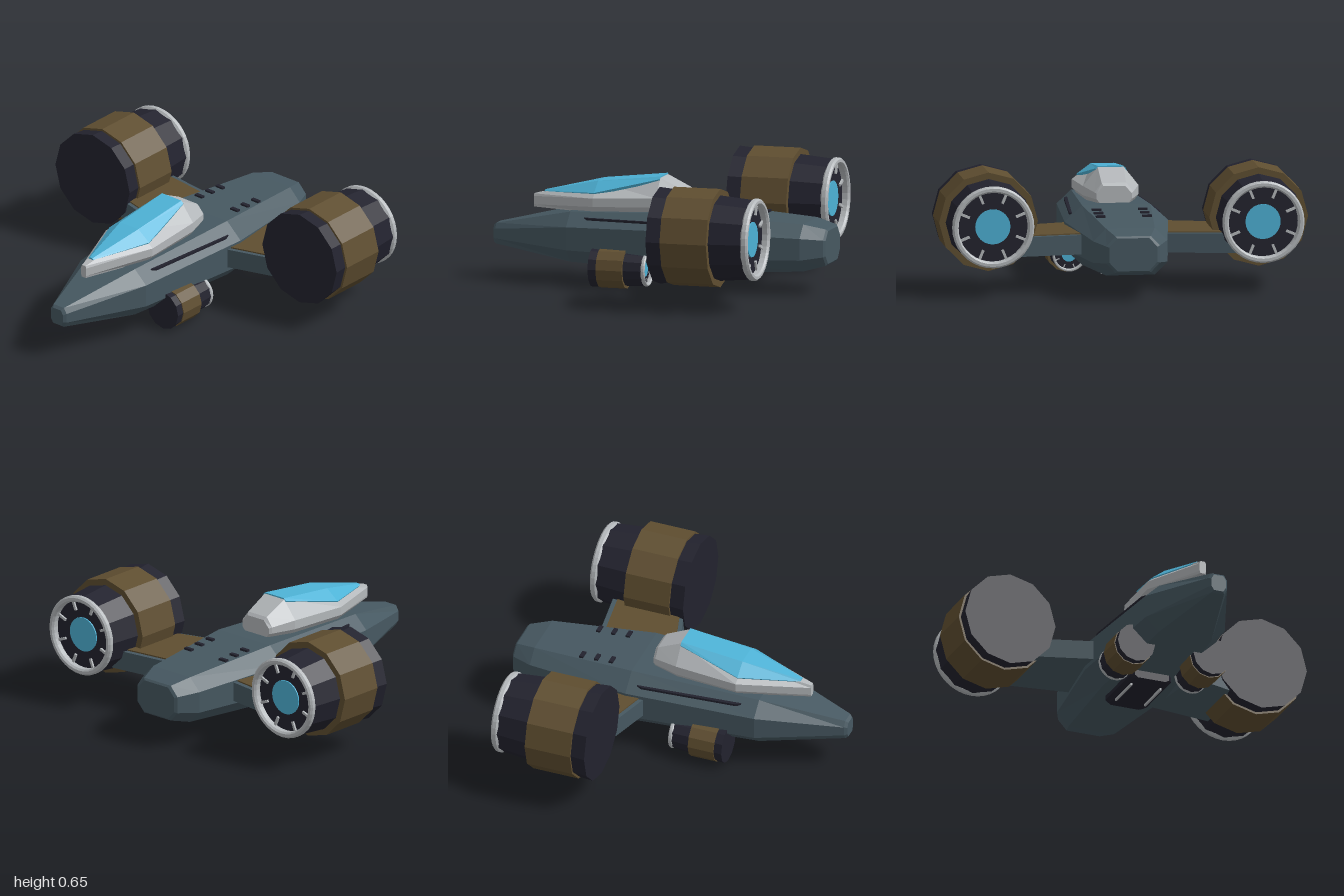
import * as THREE from 'three';

const paint = (name, color) => {
  const m = new THREE.MeshStandardMaterial({ color });
  m.name = name;
  return m;
};

// Faceted normals
function flat(geo) {
  const g = geo.index ? geo.toNonIndexed() : geo;
  g.computeVertexNormals();
  return g;
}

// Skin closed cross-sections (counter-clockwise seen from the front), ordered front to back
function loft(sections) {
  const pos = [], n = sections[0].length;
  const tri = (...pts) => pts.forEach(p => pos.push(...p));
  for (let i = 0; i < sections.length - 1; i++) {
    const A = sections[i], B = sections[i + 1];
    for (let j = 0; j < n; j++) {
      const k = (j + 1) % n;
      tri(A[j], B[j], A[k]);
      tri(A[k], B[j], B[k]);
    }
  }
  const F = sections[0], R = sections[sections.length - 1];
  for (let j = 1; j < n - 1; j++) {
    tri(F[0], F[j], F[j + 1]);
    tri(R[0], R[j + 1], R[j]);
  }
  const g = new THREE.BufferGeometry();
  g.setAttribute('position', new THREE.Float32BufferAttribute(pos, 3));
  return flat(g);
}

// Mirror a right-hand half outline (bottom to top) into a full ring at depth z
const ring = (z, half) => [
  ...half.map(([x, y]) => [x, y, z]),
  ...half.slice().reverse().map(([x, y]) => [-x, y, z]),
];

// Lathe around the z axis, profile given as [radius, distance aft]
function spin(profile, sides) {
  const pts = profile.map(([r, d]) => new THREE.Vector2(r, d));
  return flat(new THREE.LatheGeometry(pts, sides).rotateX(-Math.PI / 2));
}

// Horizontal slab from an [x, z] outline, with its top at y
function slab(outline, s, y, depth) {
  const shape = new THREE.Shape(outline.map(([x, z]) => new THREE.Vector2(s * x, z)));
  return new THREE.ExtrudeGeometry(shape, { depth, bevelEnabled: false })
    .rotateX(Math.PI / 2).translate(0, y, 0);
}

export function createModel() {
  const slate = paint('slate hull', 0x465861);
  const bronze = paint('bronze', 0x5f4e30);
  const dark = paint('dark metal', 0x22222e);
  const grey = paint('light grey', 0xb4b8bb);
  const cyan = paint('cyan glass', 0x4db2d6);
  const model = new THREE.Group();
  const add = (name, geo, mat, parent = model) => {
    const m = new THREE.Mesh(geo, mat);
    m.name = name;
    parent.add(m);
    return m;
  };

  // Octagonal fuselage: z, half width, bottom, top
  const hull = [
    [0.945, 0.042, 0.195, 0.285], [0.93, 0.055, 0.185, 0.298], [0.48, 0.23, 0.125, 0.397],
    [-0.24, 0.28, 0.1, 0.422], [-0.82, 0.2, 0.13, 0.385], [-0.935, 0.145, 0.16, 0.358],
    [-0.945, 0.13, 0.17, 0.348],
  ];
  add('fuselage', loft(hull.map(([z, w, b, t]) => {
    const c = (b + t) / 2, h = (t - b) * 0.23;
    return ring(z, [[w * 0.66, b], [w, c - h], [w, c + h], [w * 0.66, t]]);
  })), slate);

  // Canopy frame: z, side half width, top half width, then heights from bottom to top
  const frame = [
    [0.725, 0.018, 0.012, 0.392, 0.405, 0.45, 0.463],
    [0.35, 0.165, 0.065, 0.392, 0.43, 0.475, 0.55],
    [0.0, 0.15, 0.07, 0.4, 0.44, 0.49, 0.59],
    [-0.135, 0.105, 0.066, 0.41, 0.44, 0.475, 0.525],
    [-0.15, 0.095, 0.058, 0.415, 0.44, 0.47, 0.51],
  ];
  add('canopyFrame', loft(frame.map(([z, w, t, a, b, c, d]) =>
    ring(z, [[w * 0.8, a], [w, b], [w, c], [t, d]]))), grey);

  // Glass pane lying over the upper canopy faces: z, edge x, edge y, top x, top y
  const glass = [
    [0.665, 0.018, 0.478, 0.01, 0.486], [0.35, 0.14, 0.502, 0.064, 0.558],
    [0.0, 0.082, 0.584, 0.068, 0.597],
  ];
  add('canopyGlass', loft(glass.map(([z, x, y, tx, ty]) =>
    ring(z, [[x - 0.006, y - 0.014], [x, y], [tx, ty]]))), cyan);

  // Belly hatch with side rails
  add('bellyHatch', loft([[0.02, 0.1], [0.0, 0.12], [-0.34, 0.12], [-0.36, 0.1]].map(([z, w]) =>
    ring(z, [[w - 0.02, 0.067], [w, 0.08], [w, 0.125]]))), dark);

  // Engine pod pieces, shared by large and small pods
  const body = spin([[0, 0], [0.262, 0], [0.232, 0.34], [0.215, 0.53], [0.195, 0.53],
    [0.195, 0.515], [0, 0.515]], 12);
  const band = spin([[0.24, 0.08], [0.267, 0.08], [0.267, 0.34], [0.22, 0.34]], 12);
  const rim = spin([[0.188, 0.515], [0.21, 0.515], [0.221, 0.525], [0.221, 0.545], [0.212, 0.555],
    [0.197, 0.555], [0.188, 0.545], [0.188, 0.515]], 36);
  const core = spin([[0.095, 0.51], [0.095, 0.522], [0, 0.522]], 24);
  const spoke = new THREE.BoxGeometry(0.014, 0.055, 0.012);

  function pod(name, x, y, z, k, kz) {
    const g = new THREE.Group();
    g.name = name;
    g.position.set(x, y, z);
    g.scale.set(k, k, kz);
    add('podBody', body, dark, g);
    add('podBand', band, bronze, g);
    add('exhaustRim', rim, grey, g);
    add('exhaustGlow', core, cyan, g);
    for (let i = 0; i < 8; i++) {
      const a = (i + 0.5) * Math.PI / 4;
      const m = add('exhaustSpoke', spoke, grey, g);
      m.position.set(-Math.sin(a) * 0.163, Math.cos(a) * 0.163, -0.52);
      m.rotation.z = a;
    }
    model.add(g);
  }

  for (const s of [1, -1]) {
    const side = s > 0 ? 'left' : 'right';
    pod(side + 'MainEngine', s * 0.73, 0.39, -0.2, 1, 1);
    pod(side + 'BellyEngine', s * 0.22, 0.115, 0.33, 0.412, 0.565);

    // Wing with an inset bronze top panel
    add(side + 'Wing', slab([[0.1, -0.09], [0.6, -0.24], [0.6, -0.635], [0.1, -0.565]],
      s, 0.315, 0.105), slate);
    add(side + 'WingPanel', slab([[0.15, -0.13], [0.58, -0.255], [0.58, -0.605], [0.15, -0.545]],
      s, 0.322, 0.009), bronze);

    // Shoulder slit
    const slit = [[0.39, 0.19], [0.36, 0.206], [-0.16, 0.246], [-0.19, 0.238]];
    add(side + 'ShoulderSlit', loft(slit.map(([z, x]) =>
      [[-0.05, -0.006], [0, -0.006], [0, 0.006], [-0.05, 0.006]]
        .map(([dx, dy]) => [x + dx + (s < 0 ? 0.05 - 2 * x : 0), 0.368 + dy, z]))), dark);

    // Spine vents
    [-0.375, -0.46, -0.545].forEach((z, i) =>
      add(side + 'Vent', new THREE.BoxGeometry(0.05, 0.02, 0.022), dark)
        .position.set(s * 0.125, 0.414 - i * 0.0055, z));

    // Hatch rail
    add(side + 'HatchRail', new THREE.BoxGeometry(0.01, 0.014, 0.22), grey)
      .position.set(s * 0.085, 0.061, -0.17);
  }
  return model;
}
